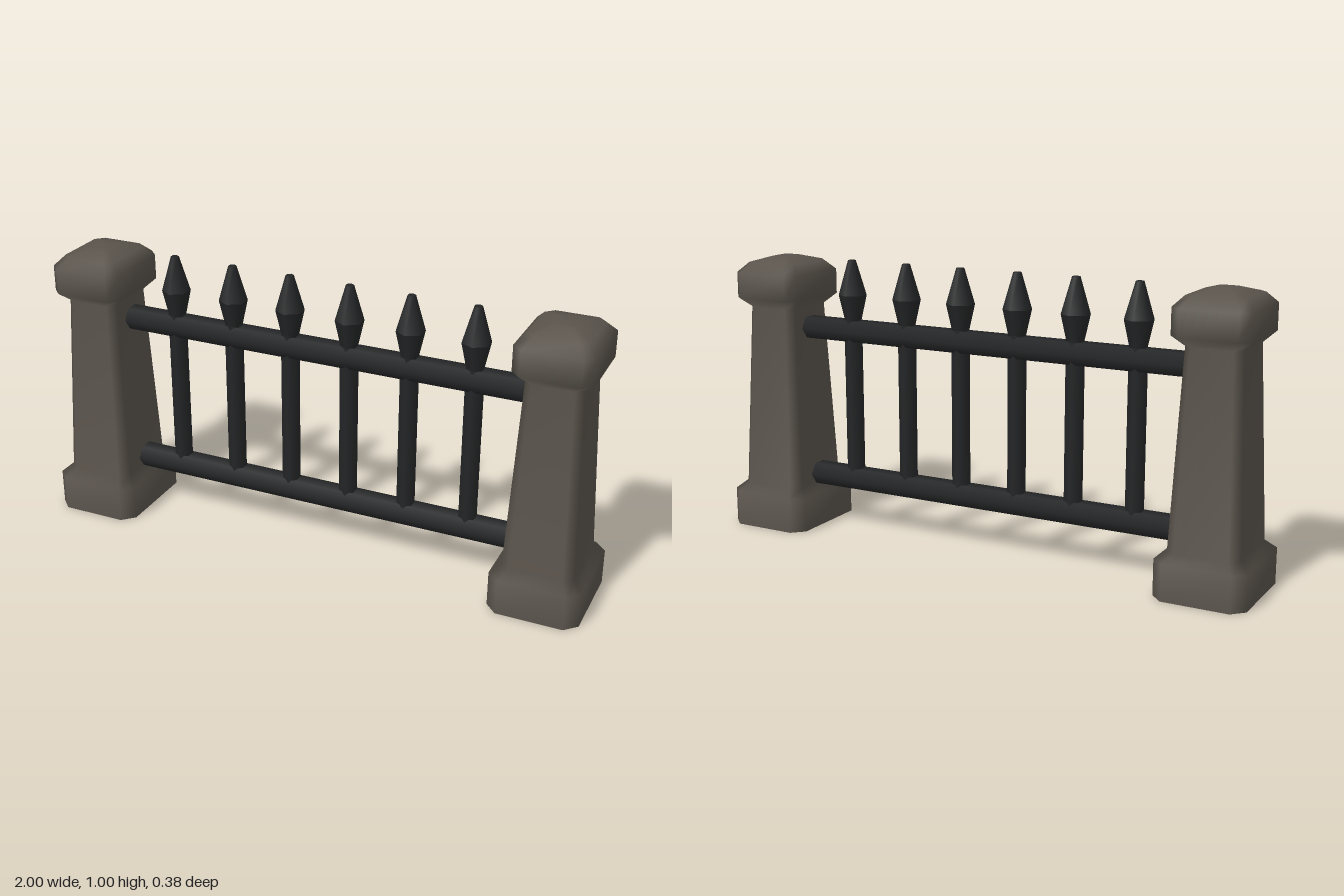
import * as THREE from 'three';

const stone = new THREE.MeshStandardMaterial({ color: 0x5a544c });
stone.name = 'stone';
const iron = new THREE.MeshStandardMaterial({ color: 0x242526 });
iron.name = 'iron';

// Rectangle with cut corners, counter-clockwise seen from above
function ring(y, hx, hz, c) {
  return [
    [hx, hz - c], [hx, -hz + c], [hx - c, -hz], [-hx + c, -hz],
    [-hx, -hz + c], [-hx, hz - c], [-hx + c, hz], [hx - c, hz],
  ].map(([x, z]) => [x, y, z]);
}

// Smooth skin through stacked rings, closed at the top with a fan
function loft(rings) {
  const n = rings[0].length;
  const points = rings.flat();
  const index = [];
  for (let r = 0; r < rings.length - 1; r++) {
    for (let i = 0; i < n; i++) {
      const j = (i + 1) % n;
      const a = r * n + i, b = r * n + j, c = a + n, d = b + n;
      index.push(a, b, d, a, d, c);
    }
  }
  const top = (rings.length - 1) * n;
  for (let i = 1; i < n - 1; i++) index.push(top, top + i, top + i + 1);
  const geometry = new THREE.BufferGeometry();
  geometry.setAttribute('position', new THREE.Float32BufferAttribute(points.flat(), 3));
  geometry.setIndex(index);
  geometry.computeVertexNormals();
  return geometry;
}

function addMesh(parent, name, geometry, material, x = 0, y = 0, z = 0) {
  const mesh = new THREE.Mesh(geometry, material);
  mesh.name = name;
  mesh.position.set(x, y, z);
  parent.add(mesh);
  return mesh;
}

function createPillar(name, x) {
  const pillar = new THREE.Group();
  pillar.name = name;
  pillar.position.x = x;
  // Plinth, tapered shaft and rounded cap in one skin
  addMesh(pillar, 'pillarBody', loft([
    ring(0, 0.158, 0.19, 0.042),
    ring(0.125, 0.158, 0.19, 0.042),
    ring(0.155, 0.124, 0.15, 0.032),
    ring(0.815, 0.096, 0.116, 0.026),
    ring(0.85, 0.132, 0.158, 0.034),
    ring(0.94, 0.132, 0.158, 0.034),
    ring(0.975, 0.1, 0.12, 0.028),
    ring(0.995, 0.036, 0.045, 0.012),
  ]), stone);
  // Flat underside
  const under = ring(0, 0.158, 0.19, 0.042).map(([px, , pz]) => new THREE.Vector2(px, pz));
  const base = new THREE.ShapeGeometry(new THREE.Shape(under));
  base.rotateX(Math.PI / 2);
  addMesh(pillar, 'pillarUnderside', base, stone);
  return pillar;
}

export function createModel() {
  const model = new THREE.Group();
  model.name = 'fenceSection';

  model.add(createPillar('leftPillar', 0.842), createPillar('rightPillar', -0.842));

  // Horizontal six-sided rails
  const rail = new THREE.CylinderGeometry(0.05, 0.05, 1.5, 6);
  rail.rotateZ(Math.PI / 2);
  rail.scale(1, 0.87, 1);
  addMesh(model, 'lowerRail', rail, iron, 0, 0.19, -0.004);
  addMesh(model, 'upperRail', rail, iron, 0, 0.74, -0.004);

  // Upright bars with spear tips
  const bar = new THREE.CylinderGeometry(0.032, 0.032, 0.6, 6);
  const tipLower = new THREE.CylinderGeometry(0.05, 0.028, 0.1, 6);
  const tipUpper = new THREE.CylinderGeometry(0.014, 0.05, 0.125, 6);
  [-0.555, -0.33, -0.113, 0.107, 0.325, 0.552].forEach((x, i) => {
    const picket = new THREE.Group();
    picket.name = `picket${i + 1}`;
    picket.position.set(x, 0, -0.004);
    addMesh(picket, 'bar', bar, iron, 0, 0.48, 0);
    addMesh(picket, 'tipLower', tipLower, iron, 0, 0.82, 0);
    addMesh(picket, 'tipUpper', tipUpper, iron, 0, 0.9325, 0);
    model.add(picket);
  });

  return model;
}
